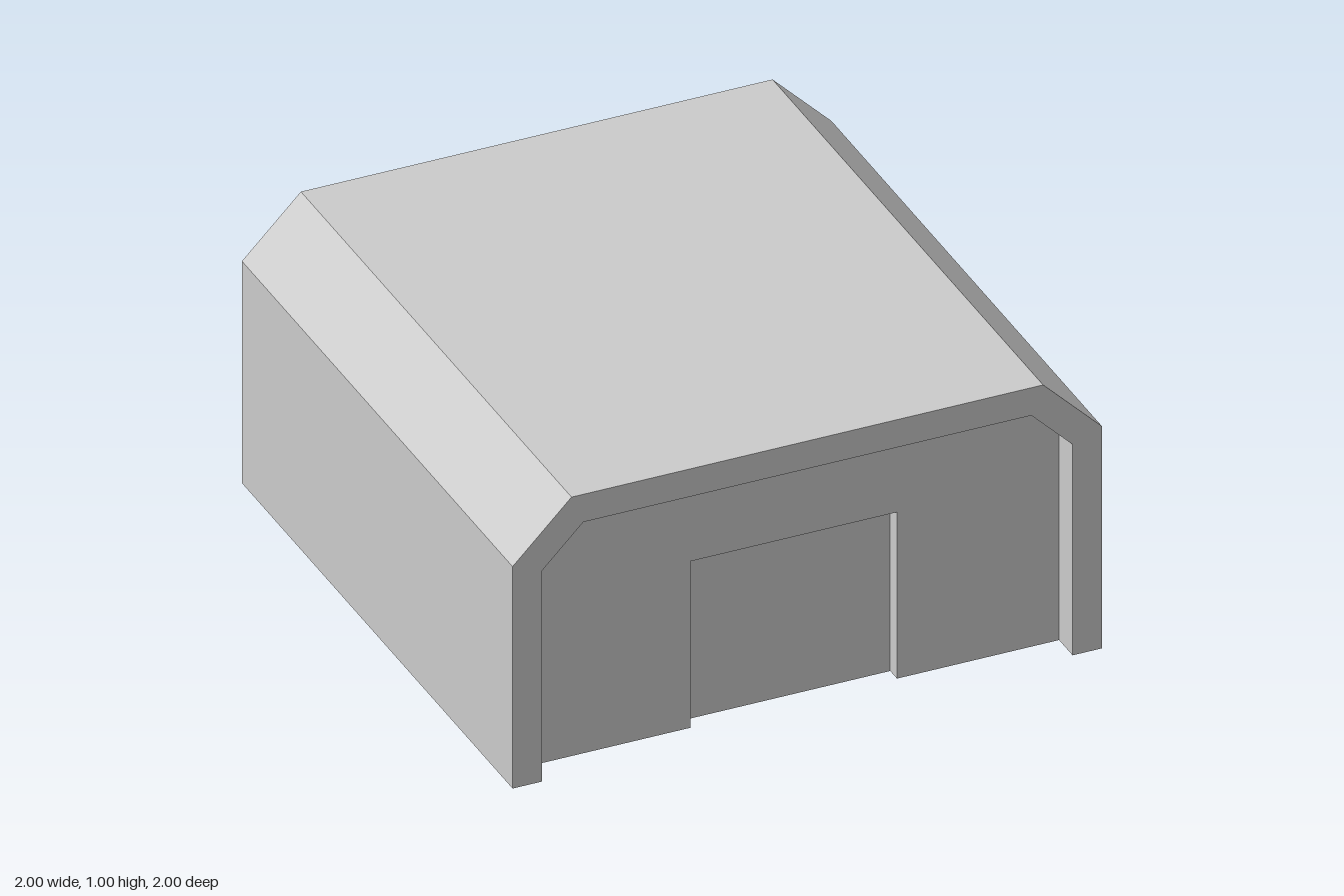
import * as THREE from 'three';

const material = new THREE.MeshStandardMaterial({ color: 0xcccccc, flatShading: true });

// Arch outline with chamfered top corners, running from bottom left to bottom right
const archPoints = (half, height, chamfer) => [
  [-half, 0], [-half, height - chamfer], [-half + chamfer, height],
  [half - chamfer, height], [half, height - chamfer], [half, 0],
];

// Extrudes a closed outline along z, centred on its own origin
function slab(name, points, depth) {
  const shape = new THREE.Shape(points.map(([x, y]) => new THREE.Vector2(x, y)));
  const geometry = new THREE.ExtrudeGeometry(shape, { depth, bevelEnabled: false });
  geometry.translate(0, 0, -depth / 2);
  const mesh = new THREE.Mesh(geometry, material);
  mesh.name = name;
  return mesh;
}

export function createModel() {
  const group = new THREE.Group();
  group.name = 'hangar';

  const outer = archPoints(1, 1, 0.2);
  const inner = archPoints(0.9, 0.9, 0.14);
  const doorHalf = 0.35, doorHeight = 0.6;

  // Side walls and roof in one open-bottomed shell
  group.add(slab('shell', [...outer, ...inner.slice().reverse()], 2));

  // Matching end walls, set back from the shell, each with a recessed door
  for (const [label, side] of [['front', 1], ['back', -1]]) {
    const wall = slab(label + 'Wall', [
      ...inner,
      [doorHalf, 0], [doorHalf, doorHeight], [-doorHalf, doorHeight], [-doorHalf, 0],
    ], 0.1);
    wall.position.z = side * 0.85;

    const door = new THREE.Mesh(new THREE.BoxGeometry(doorHalf * 2, doorHeight, 0.05), material);
    door.name = label + 'Door';
    door.position.set(0, doorHeight / 2, side * 0.825);

    group.add(wall, door);
  }
  return group;
}
